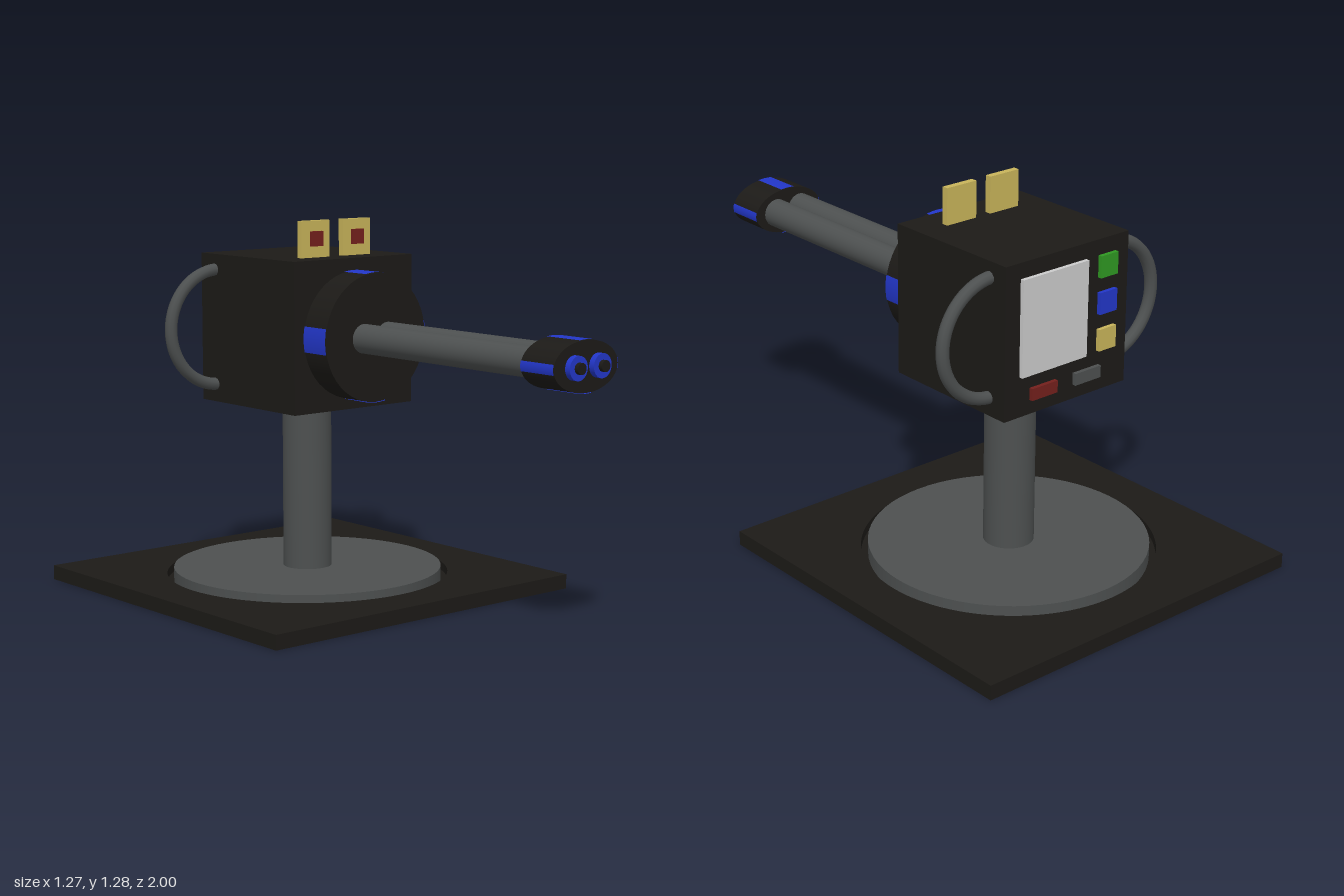
import * as THREE from 'three';

const mat = (color, side = THREE.FrontSide) => new THREE.MeshStandardMaterial({ color, side });
const black = mat(0x1c1a17);
const grey = mat(0x4d5050);
const blue = mat(0x2236c8);
const blueBand = mat(0x2236c8, THREE.DoubleSide);
const gold = mat(0xc8b45a);
const red = mat(0x74201c);
const green = mat(0x2f9822);
const silver = mat(0xc0c0c0);

const AXIS_Y = 0.9; // height of the gun axis
const POST_Z = -0.362; // centre of the stand

export function createModel() {
  const model = new THREE.Group();

  const add = (name, geometry, material) => {
    const mesh = new THREE.Mesh(geometry, material);
    mesh.name = name;
    model.add(mesh);
    return mesh;
  };

  // Box given by its limits on each axis
  const box = (name, material, [x0, x1], [y0, y1], [z0, z1]) =>
    add(name, new THREE.BoxGeometry(x1 - x0, y1 - y0, z1 - z0)
      .translate((x0 + x1) / 2, (y0 + y1) / 2, (z0 + z1) / 2), material);

  // Cylinder along z at the gun axis, optionally elliptical
  const rod = (name, material, x, rx, ry, z0, z1) =>
    add(name, new THREE.CylinderGeometry(1, 1, z1 - z0, 48).rotateX(Math.PI / 2)
      .scale(rx, ry, 1).translate(x, AXIS_Y, (z0 + z1) / 2), material);

  // Four coloured bands hugging a cylinder along z
  const bands = (name, rx, ry, z0, z1) => {
    for (let i = 0; i < 4; i++) {
      add(name, new THREE.CylinderGeometry(1, 1, z1 - z0, 8, 1, true, i * Math.PI / 2 - 0.2, 0.4)
        .rotateX(Math.PI / 2).scale(rx + 0.002, ry + 0.002, 1)
        .translate(0, AXIS_Y, (z0 + z1) / 2), blueBand);
    }
  };

  // Base plate with a round recess holding the turntable
  const plate = new THREE.Shape();
  const h = 0.637;
  plate.moveTo(-h, -h).lineTo(h, -h).lineTo(h, h).lineTo(-h, h).closePath();
  plate.holes.push(new THREE.Path().absarc(0, 0, 0.488, 0, Math.PI * 2, true));
  add('basePlate', new THREE.ExtrudeGeometry(plate, { depth: 0.03, bevelEnabled: false, curveSegments: 48 })
    .rotateX(-Math.PI / 2).translate(0, 0.02, POST_Z), black);
  box('baseFloor', black, [-h, h], [0, 0.02], [POST_Z - h, POST_Z + h]);
  add('turntable', new THREE.CylinderGeometry(0.465, 0.465, 0.05, 64).translate(0, 0.046, POST_Z), grey);
  add('post', new THREE.CylinderGeometry(0.084, 0.084, 0.59, 48).translate(0, 0.362, POST_Z), grey);

  // Housing and front drum
  box('housing', black, [-0.255, 0.255], [0.65, 1.157], [-0.617, -0.107]);
  rod('drum', black, 0, 0.215, 0.215, -0.107, 0.005);
  bands('drumBand', 0.215, 0.215, -0.107, 0.005);

  // Muzzle block
  rod('muzzle', black, 0, 0.137, 0.08, 0.828, 0.966);
  bands('muzzleBand', 0.137, 0.08, 0.828, 0.966);

  for (const s of [-1, 1]) {
    // Twin barrels with ringed tips
    const x = s * 0.051;
    rod('barrel', grey, x, 0.049, 0.049, 0, 0.83);
    rod('muzzleRing', blue, x, 0.038, 0.038, 0.96, 0.986);
    rod('muzzleTip', black, x, 0.018, 0.018, 0.96, 1);

    // Sight plates with a red centre
    const c = s * 0.089;
    box('sight', gold, [c - 0.06, c + 0.06], [1.157, 1.28], [-0.222, -0.2]);
    box('sightCentre', red, [c - 0.025, c + 0.025], [1.195, 1.245], [-0.2, -0.19]);

    // Side handles, half rings rooted in the housing
    add('handle', new THREE.TorusGeometry(0.197, 0.021, 10, 48, Math.PI)
      .rotateZ(-s * Math.PI / 2).translate(s * 0.242, 0.907, -0.543), grey);
  }

  // Rear control panel
  const back = [-0.631, -0.617];
  box('screen', silver, [-0.075, 0.195], [0.785, 1.105], back);
  [[green, 1.032], [blue, 0.91], [gold, 0.787]].forEach(([m, y]) =>
    box('panelButton', m, [-0.2, -0.128], [y, y + 0.073], back));
  box('redSwitch', red, [0.046, 0.152], [0.698, 0.738], back);
  box('greySwitch', grey, [-0.138, -0.03], [0.698, 0.738], back);

  return model;
}
